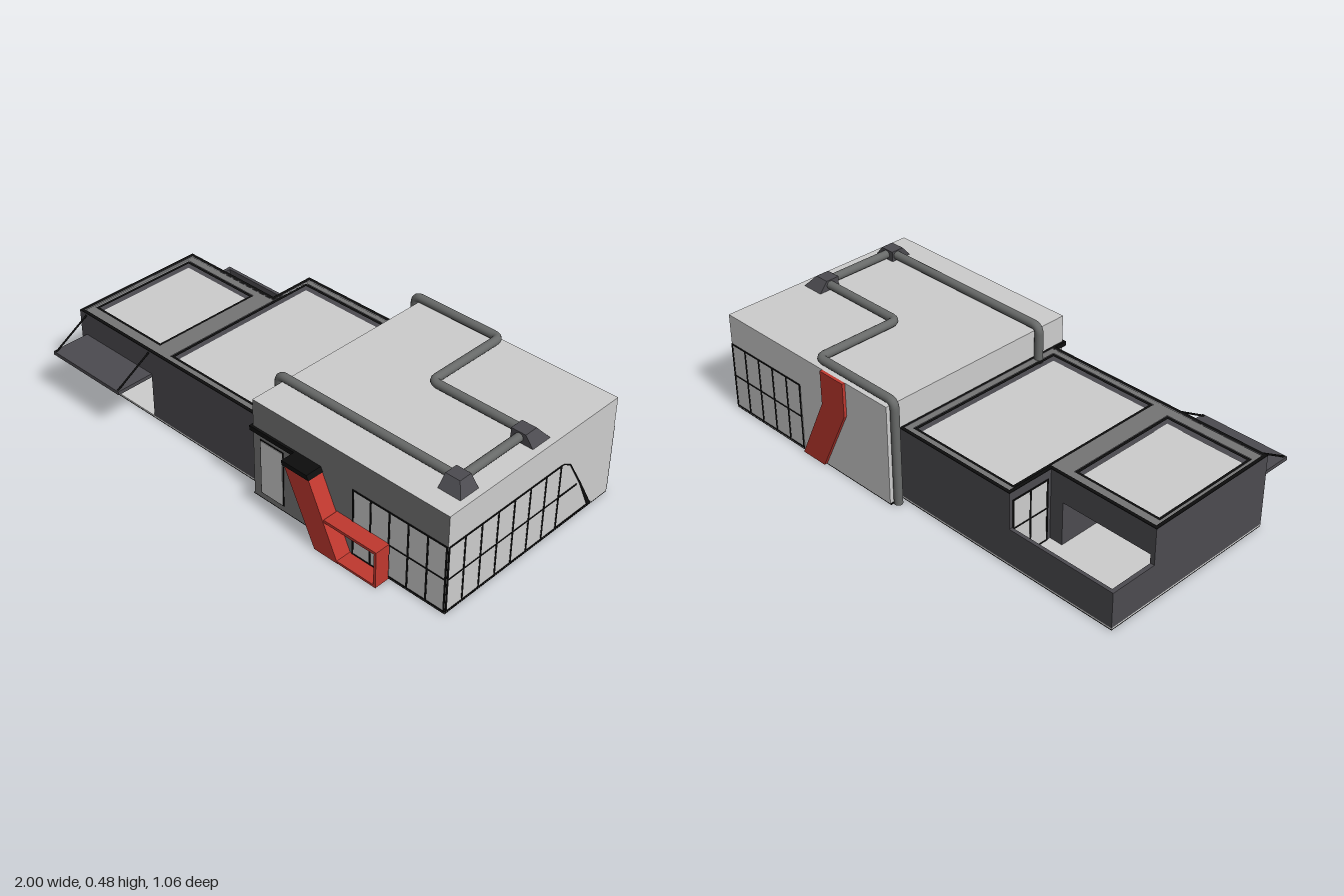
import * as THREE from 'three';

export function createModel() {
  const root = new THREE.Group();
  root.name = 'modernBuilding';

  const mat = (name, color, side = THREE.FrontSide) => {
    const m = new THREE.MeshStandardMaterial({ color, side });
    m.name = name;
    return m;
  };
  const light = mat('lightGrey', 0xcdcdcd);
  const grey = mat('midGrey', 0x757575);
  const dark = mat('charcoal', 0x4c4b50);
  const black = mat('black', 0x0d0d0d);
  const red = mat('red', 0xc0382f);
  const pipeGrey = mat('pipeGrey', 0x686a69);

  const add = (name, geo, m, parent = root) => {
    const mesh = new THREE.Mesh(geo, m);
    mesh.name = name;
    parent.add(mesh);
    return mesh;
  };
  const box = (name, m, x0, x1, y0, y1, z0, z1, parent = root) => {
    const g = new THREE.BoxGeometry(x1 - x0, y1 - y0, z1 - z0);
    g.translate((x0 + x1) / 2, (y0 + y1) / 2, (z0 + z1) / 2);
    return add(name, g, m, parent);
  };
  const shapeOf = (pts, holes = []) => {
    const s = new THREE.Shape(pts.map(p => new THREE.Vector2(...p)));
    s.holes = holes.map(h => new THREE.Path(h.map(p => new THREE.Vector2(...p))));
    return s;
  };
  const extrude = (shape, depth) => new THREE.ExtrudeGeometry(shape, { depth, bevelEnabled: false });
  // Plan shapes use (x, -z) and rise from y0 to y1
  const plan = (name, m, pts, holes, y0, y1) => {
    const flip = a => a.map(([x, z]) => [x, -z]);
    const g = extrude(shapeOf(flip(pts), holes.map(flip)), y1 - y0);
    g.rotateX(-Math.PI / 2);
    g.translate(0, y0, 0);
    return add(name, g, m);
  };
  const rect = (x0, x1, z0, z1) => [[x0, z0], [x1, z0], [x1, z1], [x0, z1]];

  // Tall hall: grey front, light on the other sides
  box('hall', [light, light, light, black, grey, light], 0.06, 0.997, 0.004, 0.437, -0.52, 0.41);
  box('hallUnderside', black, 0.055, 0.997, 0, 0.004, -0.52, 0.41);

  // Low wing base and solid room
  box('wingUnderside', black, -1, 0.06, 0, 0.004, -0.46, 0.36);
  box('wingFloor', light, -1, 0.06, 0.004, 0.01, -0.46, 0.36);
  box('wingRoom', dark, -0.51, 0.06, 0.01, 0.29, -0.46, 0.36);

  // Open carport and low courtyard walls
  box('carportSideWall', dark, -1, -0.98, 0.01, 0.29, -0.25, 0.36);
  box('carportInnerWall', dark, -0.57, -0.51, 0.01, 0.29, -0.25, 0.36);
  box('carportCeiling', dark, -0.98, -0.57, 0.2, 0.29, -0.25, 0.36);
  box('courtyardSideWall', dark, -1, -0.982, 0.01, 0.163, -0.46, -0.25);
  box('courtyardBackWall', dark, -0.982, -0.51, 0.01, 0.163, -0.46, -0.445);

  // Wing roof: parapet, black rim, grey deck and two sunken panels
  const outline = d => [[-1 + d, -0.25 + d], [-0.51 + d, -0.25 + d], [-0.51 + d, -0.46 + d],
    [0.06, -0.46 + d], [0.06, 0.36 - d], [-1 + d, 0.36 - d]];
  plan('wingParapet', dark, outline(0), [outline(0.014).map(([x, z]) => [Math.min(x, 0.05), z])], 0.29, 0.317);
  plan('wingRim', black, outline(0), [outline(0.014).map(([x, z]) => [Math.min(x, 0.05), z])], 0.317, 0.32);
  const panels = [[-0.96, -0.59, -0.19, 0.29], [-0.48, 0.013, -0.41, 0.31]];
  const grow = ([a, b, c, d], t) => rect(a - t, b + t, c - t, d + t);
  plan('wingRoofDeck', grey, outline(0.014), panels.map(p => grow(p, 0.013)), 0.29, 0.316);
  for (const p of panels) {
    plan('roofPanelFrame', black, grow(p, 0.013), [rect(...p)], 0.29, 0.314);
    box('roofPanel', light, p[0], p[1], 0.288, 0.293, p[2], p[3]);
  }

  // Awning with two stays over the carport
  box('awning', dark, -0.97, -0.57, 0.198, 0.214, 0.36, 0.53);
  for (const x of [-0.96, -0.58]) {
    const stay = new THREE.LineCurve3(new THREE.Vector3(x, 0.31, 0.36), new THREE.Vector3(x, 0.212, 0.525));
    add('awningStay', new THREE.TubeGeometry(stay, 1, 0.004, 6), black);
  }

  // Window grid drawn in local x/y, facing local +z
  const windowGrid = (name, w, cols, y0, y1, extra, pos, turn) => {
    const g = new THREE.Group();
    g.name = name;
    const b = 0.004;
    box('glass', light, 0, w, y0, y1, 0, 0.0015, g);
    for (let i = 0; i <= cols; i++) {
      const x = Math.min(Math.max(w * i / cols, b), w - b);
      box('mullion', black, x - b, x + b, y0, y1, 0, 0.003, g);
    }
    for (const y of [y0, 0.156, y1]) {
      box('transom', black, 0, w + (y === y1 ? 0 : y === y0 ? extra * 2 : extra), y - 0.003, y + 0.003, 0, 0.003, g);
    }
    g.position.set(...pos);
    g.rotation.y = turn;
    root.add(g);
    return g;
  };
  windowGrid('frontWindow', 0.437, 5, 0.012, 0.302, 0, [0.56, 0, 0.41], 0);
  windowGrid('backWindow', 0.432, 5, 0.012, 0.302, 0, [0.997, 0, -0.52], Math.PI);
  windowGrid('courtyardWindow', 0.18, 2, 0.012, 0.28, 0, [-0.51, 0, -0.445], -Math.PI / 2);
  const side = windowGrid('sideWindow', 0.617, 7, 0.012, 0.3, 0.105, [0.997, 0, 0.41], Math.PI / 2);
  // Slanted end of the side window
  add('slantedFrame', extrude(shapeOf([[0.617, 0.303], [0.632, 0.3], [0.672, 0.276], [0.745, 0.155], [0.826, 0.01],
    [0.806, 0.01], [0.739, 0.153], [0.668, 0.274], [0.631, 0.297], [0.617, 0.299]]), 0.003), black, side);

  // Front door and black canopy
  box('doorFrame', black, 0.097, 0.217, 0.027, 0.277, 0.41, 0.412);
  box('door', light, 0.102, 0.212, 0.032, 0.272, 0.412, 0.414);
  box('canopyStrip', black, 0.05, 0.28, 0.3, 0.32, 0.36, 0.42);
  add('canopy', extrude(shapeOf([[0.28, 0.3], [0.415, 0.3], [0.405, 0.32], [0.28, 0.32]]), 0.073), black)
    .position.z = 0.41;

  // Red slanted pier and entrance frame
  add('slantedPier', extrude(shapeOf([[0.29, 0.3], [0.44, 0], [0.556, 0], [0.412, 0.3]]), 0.07), red)
    .position.z = 0.41;
  box('entranceTop', red, 0.485, 0.738, 0.15, 0.162, 0.41, 0.479);
  box('entrancePost', red, 0.727, 0.738, 0.01, 0.15, 0.41, 0.479);
  box('entranceSill', red, 0.5, 0.738, 0, 0.01, 0.41, 0.479);

  // Red bent band on the back wall
  add('backBand', extrude(shapeOf([[0.29, 0.437], [0.29, 0.29], [0.43, 0.002], [0.556, 0.002],
    [0.42, 0.29], [0.42, 0.437]]), 0.013), red).position.z = -0.533;

  // Roof pipes with rounded bends
  const pipe = (name, pts) => {
    const v = pts.map(p => new THREE.Vector3(...p));
    const path = new THREE.CurvePath();
    let from = v[0];
    for (let i = 1; i < v.length; i++) {
      if (i === v.length - 1) {
        path.add(new THREE.LineCurve3(from, v[i]));
        break;
      }
      const toward = (q) => v[i].clone().add(q.clone().sub(v[i]).setLength(0.03));
      const a = toward(v[i - 1]), b = toward(v[i + 1]);
      path.add(new THREE.LineCurve3(from, a));
      path.add(new THREE.QuadraticBezierCurve3(a, v[i], b));
      from = b;
    }
    add(name, new THREE.TubeGeometry(path, 140, 0.018, 14), pipeGrey);
  };
  pipe('backPipe', [[0.042, 0.004, -0.495], [0.042, 0.459, -0.495], [0.467, 0.459, -0.495],
    [0.467, 0.459, -0.105], [0.9, 0.459, -0.105]]);
  pipe('frontPipe', [[0.042, 0.3, 0.255], [0.042, 0.459, 0.255], [0.9, 0.459, 0.255]]);
  pipe('crossPipe', [[0.905, 0.459, -0.1], [0.905, 0.459, 0.25]]);

  // Duct heads: boxes whose top is pulled in on the outer sides
  for (const [z0, z1, outer] of [[0.23, 0.325, 1], [-0.16, -0.062, -1]]) {
    const g = new THREE.BoxGeometry(0.1, 0.045, z1 - z0);
    const p = g.attributes.position;
    for (let i = 0; i < p.count; i++) {
      if (p.getY(i) < 0) continue;
      if (p.getX(i) > 0) p.setX(i, p.getX(i) - 0.035);
      if (p.getZ(i) * outer > 0) p.setZ(i, p.getZ(i) - outer * 0.037);
    }
    g.computeVertexNormals();
    add('ductHead', g, dark).position.set(0.918, 0.459, (z0 + z1) / 2);
  }

  return root;
}
